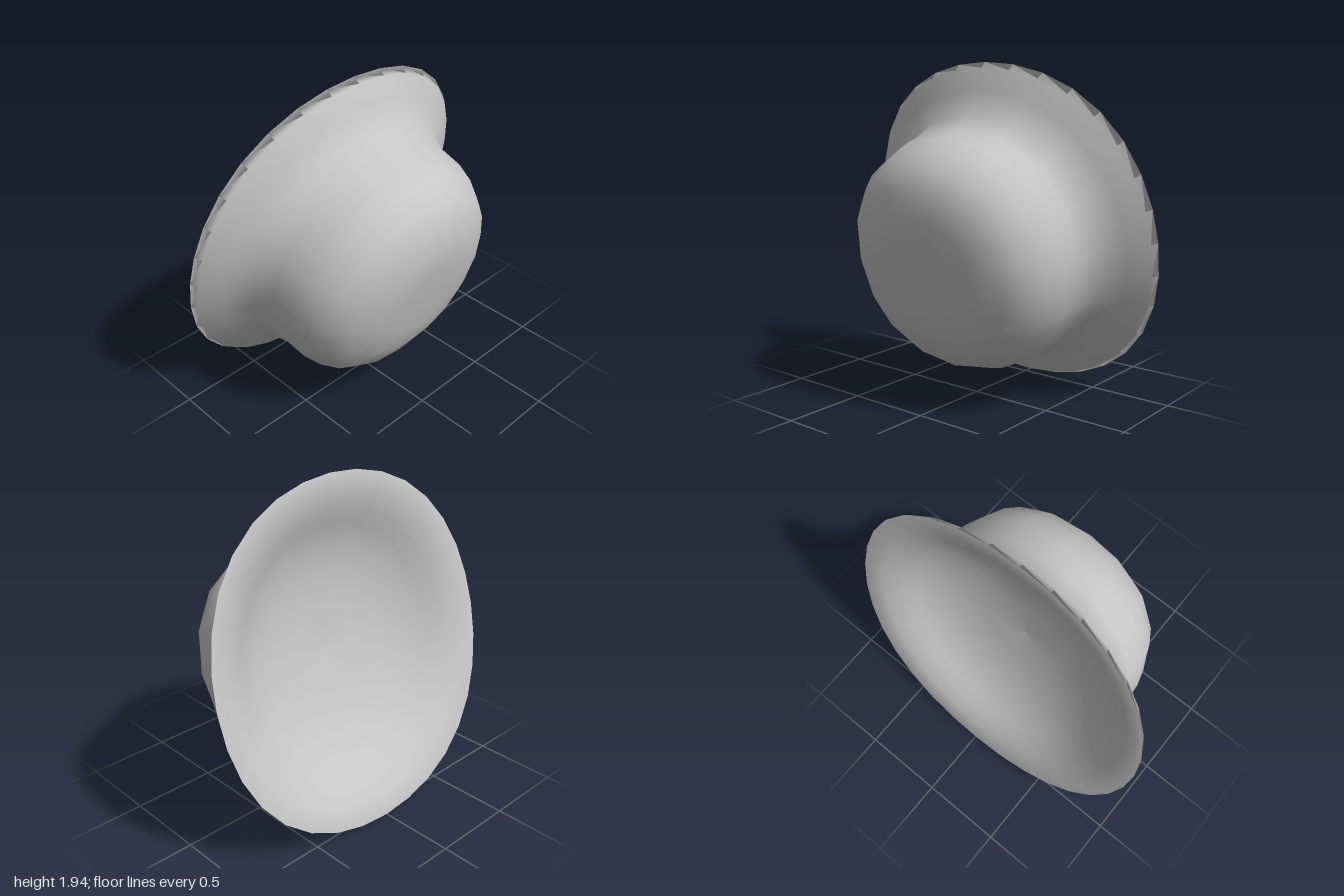
import * as THREE from 'three';

export function createModel() {
  const group = new THREE.Group();
  const grey = new THREE.MeshStandardMaterial({ color: 0xc6c6c6 });
  grey.name = 'plain grey';

  // Profile as [radius, height]: shallow hollow sloping in from the rim, then back over the outside
  const hollow = [[0, 0.3], [0.25, 0.285], [0.45, 0.25], [0.6, 0.195], [0.71, 0.135], [0.78, 0.08],
    [0.88, 0.035]];
  const rim = [[1, 0]];
  const outside = [[0.975, 0.037], [0.862, 0.105], [0.743, 0.198], [0.704, 0.327], [0.695, 0.47],
    [0.663, 0.583], [0.605, 0.688], [0.512, 0.765], [0.362, 0.822], [0.22, 0.834], [0, 0.836]];
  const points = [...hollow, ...rim, ...outside].map(([r, h]) => new THREE.Vector2(r, h));
  const geometry = new THREE.LatheGeometry(points, 32);

  // Rings bulge slightly on the diagonals; the crown has sixteen sides, so its odd columns lie on chords
  const chord = Math.cos(Math.PI / 16);
  const pos = geometry.attributes.position;
  for (let i = 0; i < pos.count; i++) {
    const column = Math.floor(i / points.length);
    const fade = THREE.MathUtils.smoothstep(pos.getY(i), 0.05, 0.25);
    const bulge = 1 + 0.028 * Math.sin(column * Math.PI / 8) ** 2;
    const k = bulge * (column % 2 ? 1 - (1 - chord) * fade : 1);
    pos.setX(i, pos.getX(i) * k);
    pos.setZ(i, pos.getZ(i) * k);
  }

  // Crown points forward and slightly down
  const hat = new THREE.Mesh(geometry, grey);
  hat.name = 'hatShell';
  hat.rotation.x = Math.PI / 2 + Math.asin(0.245);
  hat.position.set(0, 0.97, -0.317);
  group.add(hat);
  return group;
}
